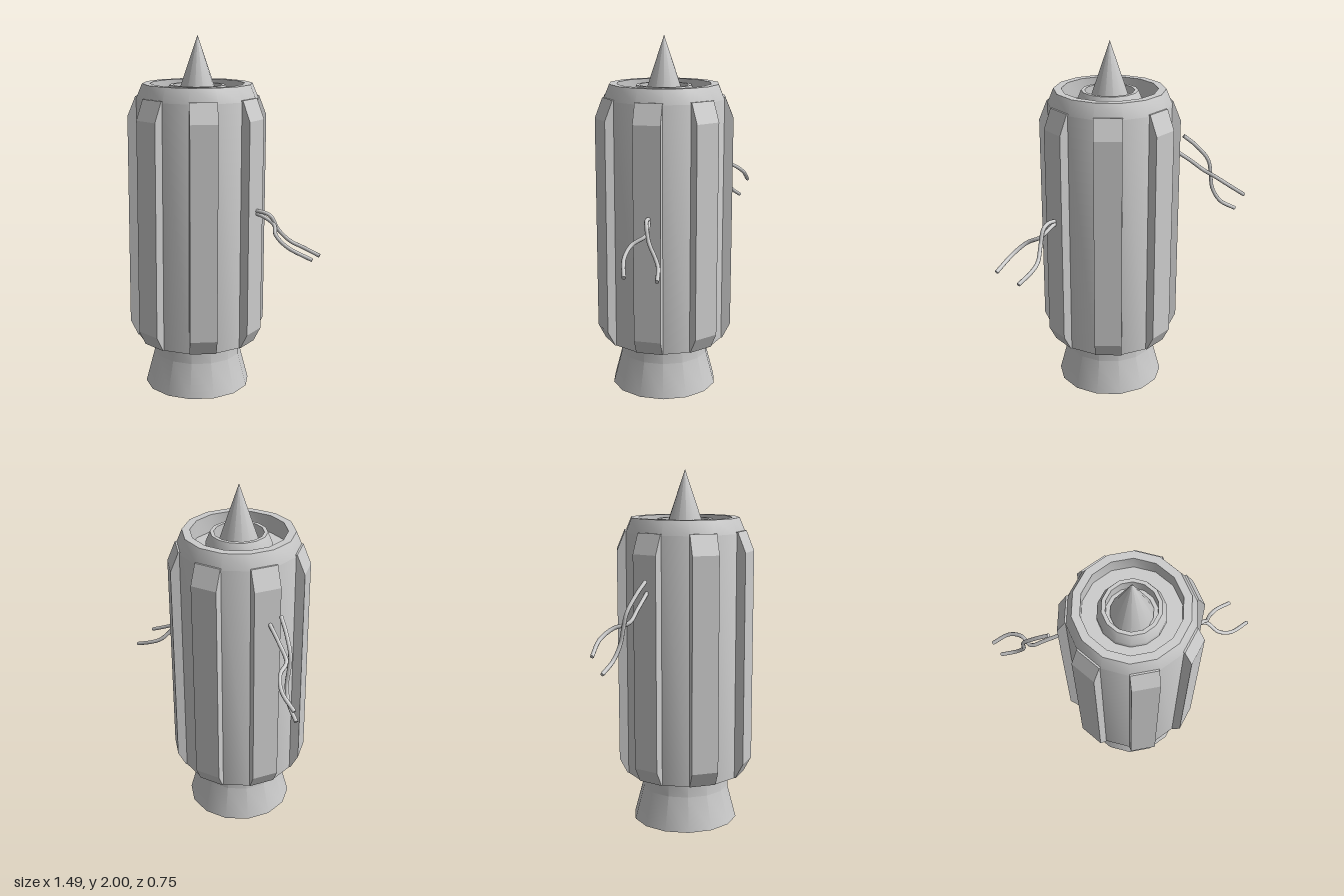
import * as THREE from 'three';
import { toCreasedNormals } from 'three/addons/utils/BufferGeometryUtils.js';

const SIDES = 14;
const RIBS = 7;
const material = new THREE.MeshStandardMaterial({ color: 0xcccccc });

function addMesh(parent, name, geometry) {
  const mesh = new THREE.Mesh(geometry, material);
  mesh.name = name;
  parent.add(mesh);
  return mesh;
}

// Turned part from [radius, height] pairs, with sharp corners kept
function turned(profile) {
  const points = profile.map(([r, y]) => new THREE.Vector2(r, y));
  return toCreasedNormals(new THREE.LatheGeometry(points, SIDES, Math.PI / SIDES), 0.5);
}

function cable(points) {
  const curve = new THREE.CatmullRomCurve3(points.map((p) => new THREE.Vector3(...p)));
  return new THREE.TubeGeometry(curve, 28, 0.011, 8);
}

export function createModel() {
  const model = new THREE.Group();
  model.name = 'thruster';

  const core = new THREE.Group();
  core.name = 'core';
  core.position.set(0.015, 0, -0.007);
  model.add(core);

  // Casing with a sloped shoulder and a recessed top
  addMesh(core, 'casing', turned([
    [0.2, 0.285], [0.338, 0.285], [0.338, 1.66], [0.305, 1.74],
    [0.262, 1.74], [0.262, 1.64], [0, 1.64],
  ]));

  // Hollow flared nozzle with a neck
  addMesh(core, 'nozzle', turned([
    [0, 0.19], [0.215, 0.19], [0.258, 0], [0.3, 0], [0.25, 0.19], [0.25, 0.29],
  ]));

  // Collar around the spike
  addMesh(core, 'collar', turned([
    [0.18, 1.64], [0.18, 1.67], [0.155, 1.732], [0.135, 1.732], [0.135, 1.66], [0, 1.66],
  ]));

  // Pointed spike
  addMesh(core, 'spike', turned([[0.112, 1.655], [0.112, 1.67], [0, 2]]));

  // Long ribs with chamfered ends
  const ribShape = new THREE.Shape([
    [0.28, 0.285], [0.336, 0.285], [0.38, 0.37], [0.38, 1.56], [0.335, 1.67], [0.28, 1.67],
  ].map(([r, y]) => new THREE.Vector2(r, y)));
  const ribWidth = 0.15;
  const ribGeometry = new THREE.ExtrudeGeometry(ribShape, { depth: ribWidth, bevelEnabled: false });
  ribGeometry.translate(0, 0, -ribWidth / 2);
  for (let i = 0; i < RIBS; i++) {
    const rib = addMesh(core, 'rib', ribGeometry);
    rib.rotation.y = -Math.PI / 2 + (i * 2 * Math.PI) / RIBS;
  }

  // Loose cables on both sides, with closed ends
  const cables = {
    leftCable: [
      [[0.36, 1.06, -0.1], [0.41, 1.065, -0.105], [0.46, 1.045, -0.13], [0.49, 0.97, -0.16],
        [0.53, 0.9, -0.22], [0.58, 0.87, -0.26], [0.67, 0.83, -0.3]],
      [[0.36, 1.055, -0.09], [0.41, 1.04, -0.115], [0.48, 1.0, -0.135], [0.54, 0.96, -0.085],
        [0.62, 0.91, -0.085], [0.74, 0.85, -0.15]],
    ],
    rightCable: [
      [[-0.34, 1.37, -0.075], [-0.45, 1.29, -0.085], [-0.53, 1.225, -0.1], [-0.57, 1.2, -0.17],
        [-0.64, 1.15, -0.215], [-0.74, 1.08, -0.21]],
      [[-0.42, 1.43, -0.055], [-0.49, 1.37, -0.075], [-0.56, 1.28, -0.1], [-0.57, 1.2, -0.115],
        [-0.575, 1.12, -0.13], [-0.62, 1.04, -0.15], [-0.71, 0.985, -0.17]],
    ],
  };
  const forward = new THREE.Vector3(0, 0, 1);
  for (const [name, paths] of Object.entries(cables)) {
    for (const path of paths) {
      const geometry = cable(path);
      addMesh(model, name, geometry);
      for (const t of [0, 1]) {
        const cap = addMesh(model, name + 'End', new THREE.CircleGeometry(0.011, 8));
        const out = geometry.parameters.path.getTangentAt(t).multiplyScalar(t ? 1 : -1);
        cap.quaternion.setFromUnitVectors(forward, out);
        cap.position.copy(geometry.parameters.path.getPointAt(t));
      }
    }
  }

  return model;
}
